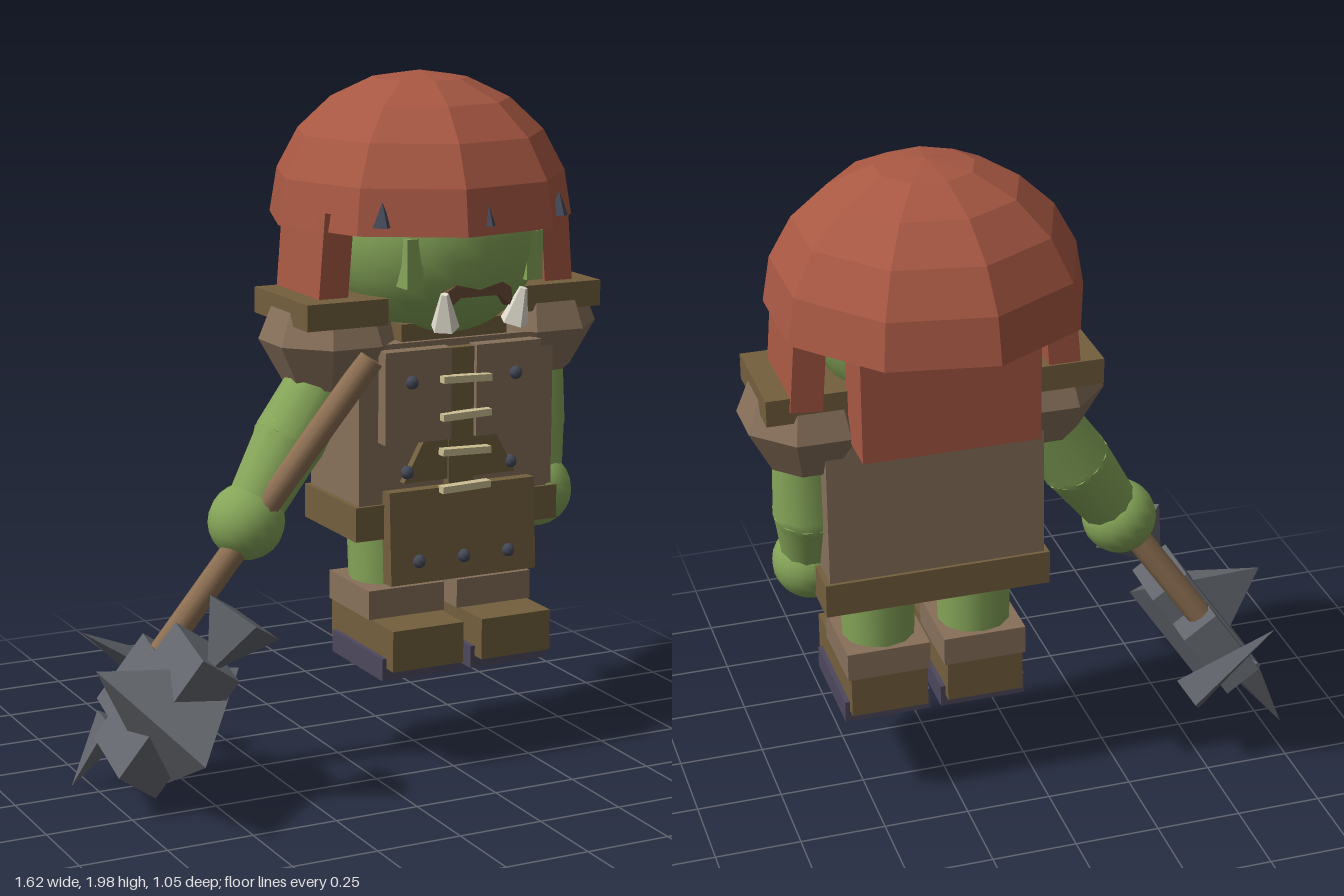
import * as THREE from 'three';

const COLORS = {
  hair: 0xa85843, skin: 0x86a659, leather: 0x87705a, darkLeather: 0x735f3e, metal: 0x62666c,
  wood: 0x8f7154, bone: 0xe2decf, lace: 0xcdbf92, sole: 0x4d485c, shadow: 0x33323c, mouth: 0x6b4a38, stud: 0x454a58,
};

export function createModel() {
  const root = new THREE.Group();
  const V = (x, y, z) => new THREE.Vector3(x, y, z);
  const CX = 0.3; // body centre line

  function add(name, geo, color, pos, flat = false, parent = root) {
    const mat = new THREE.MeshStandardMaterial({ color: COLORS[color], flatShading: flat });
    const mesh = new THREE.Mesh(geo, mat);
    mesh.name = name;
    if (pos) mesh.position.copy(pos);
    parent.add(mesh);
    return mesh;
  }
  // Box given by its lower and upper limits
  function box(name, color, x0, x1, y0, y1, z0, z1) {
    return add(name, new THREE.BoxGeometry(x1 - x0, y1 - y0, z1 - z0), color,
      V((x0 + x1) / 2, (y0 + y1) / 2, (z0 + z1) / 2));
  }
  // Tapered rod between two points
  function rod(name, color, a, b, ra, rb, sides, flat = false) {
    const dir = b.clone().sub(a);
    const m = add(name, new THREE.CylinderGeometry(rb, ra, dir.length(), sides), color,
      a.clone().add(b).multiplyScalar(0.5), flat);
    m.quaternion.setFromUnitVectors(V(0, 1, 0), dir.normalize());
    return m;
  }

  // Hair: faceted cap, dark underside, back block and side locks
  const cap = new THREE.SphereGeometry(0.44, 9, 5, 0, Math.PI * 2, 0, Math.PI / 2);
  cap.scale(1.015, 0.955, 1.015);
  add('hairCap', cap, 'hair', V(CX, 1.57, -0.083), true);
  const under = new THREE.CircleGeometry(0.44, 9, Math.PI);
  under.rotateX(Math.PI / 2);
  add('hairUnderside', under, 'shadow', V(CX, 1.572, -0.083));
  box('backHair', 'hair', 0.05, 0.55, 1.235, 1.6, -0.32, -0.15);
  for (const s of [-1, 1]) {
    const lock = box('sideHair', 'hair', CX + s * 0.355 - 0.045, CX + s * 0.355 + 0.045, 1.34, 1.62, -0.18, 0.1);
    lock.rotation.z = s * 0.08;
  }
  for (const x of [0.02, 0.3, 0.58]) {
    const z = x === 0.3 ? 0.325 : 0.235;
    add('hairNotch', new THREE.ConeGeometry(0.03, 0.07, 4), 'stud', V(x, 1.63, z), true);
  }

  // Head with mouth, cheeks and tusks
  add('head', new THREE.SphereGeometry(0.315, 24, 16), 'skin', V(CX, 1.55, 0.005));
  const mouthShape = new THREE.Shape([[-0.11, -0.05], [-0.06, -0.01], [0.06, -0.01], [0.11, -0.05],
    [0.1, 0.01], [0.06, 0.035], [0, 0.02], [-0.06, 0.035], [-0.1, 0.01]].map(p => new THREE.Vector2(...p)));
  add('mouth', new THREE.ExtrudeGeometry(mouthShape, { depth: 0.07, bevelEnabled: false }), 'mouth', V(CX, 1.4, 0.215));
  for (const s of [-1, 1]) {
    box('cheek', 'skin', CX + s * 0.19 - 0.025, CX + s * 0.19 + 0.025, 1.42, 1.56, 0.15, 0.26);
    rod('tusk', 'bone', V(CX + s * 0.11, 1.31, 0.285), V(CX + s * 0.125, 1.41, 0.31), 0.042, 0.012, 5, true);
  }

  // Torso, hem and collar
  box('torso', 'leather', -0.01, 0.615, 0.74, 1.25, -0.16, 0.155);
  box('hem', 'darkLeather', -0.025, 0.63, 0.69, 0.79, -0.17, 0.165);
  box('collar', 'darkLeather', 0.13, 0.47, 1.22, 1.3, -0.12, 0.14);

  // Chest plates, laces and apron
  for (const s of [-1, 1]) {
    const plate = new THREE.Shape([[0.04, 0], [0.25, 0], [0.25, 0.265], [0.04, 0.265]]
      .map(([x, y]) => new THREE.Vector2(s * x, y)));
    add('chestPlate', new THREE.ExtrudeGeometry(plate, { depth: 0.055, bevelEnabled: false }), 'leather', V(CX, 0.97, 0.145));
    for (const [y, z] of [[1.145, 0.2], [0.88, 0.175]]) {
      add('stud', new THREE.SphereGeometry(0.02, 8, 6), 'stud', V(CX + s * 0.167, y, z));
    }
  }
  box('placket', 'darkLeather', 0.26, 0.34, 0.83, 1.23, 0.14, 0.185);
  const flap = new THREE.Shape([[-0.18, -0.01], [0.18, -0.01], [0.11, 0.12], [-0.11, 0.12]]
    .map(p => new THREE.Vector2(...p)));
  add('lowerFlap', new THREE.ExtrudeGeometry(flap, { depth: 0.03, bevelEnabled: false }), 'darkLeather', V(CX, 0.86, 0.15));
  for (let i = 0; i < 4; i++) {
    const lace = add('lace', new THREE.BoxGeometry(0.155, 0.02, 0.03), 'lace', V(CX, 1.145 - i * 0.105, 0.21));
    lace.rotation.z = i % 2 ? 0.03 : -0.03;
  }
  const apron = box('apron', 'darkLeather', 0.065, 0.535, 0.56, 0.83, 0.155, 0.205);
  apron.rotation.x = -0.05;
  for (const x of [0.155, 0.3, 0.445]) {
    add('stud', new THREE.SphereGeometry(0.02, 8, 6), 'stud', V(x, 0.625, 0.208));
  }

  // Shoulder pads with plates on top
  const padProfile = [[0, -0.13], [0.13, -0.13], [0.205, 0], [0.165, 0.1], [0, 0.13]]
    .map(p => new THREE.Vector2(...p));
  for (const s of [-1, 1]) {
    const x = CX + s * 0.325;
    const pad = new THREE.LatheGeometry(padProfile, 8, Math.PI / 8);
    pad.scale(0.97, 1, 1);
    add('shoulderPad', pad, 'leather', V(x, 1.25, -0.01), true);
    const plate = add('shoulderPlate', new THREE.BoxGeometry(0.25, 0.075, 0.32), 'darkLeather',
      V(x + s * 0.025, 1.345, -0.01));
    if (s < 0) plate.scale.z = 1.1;
  }

  // Arms and hands
  const arms = [
    [V(0.64, 1.2, -0.01), V(0.63, 0.95, 0), V(0.62, 0.755, 0.055)],
    [V(-0.01, 1.2, 0), V(-0.16, 0.97, 0.01), V(-0.305, 0.755, 0.035)],
  ];
  for (const [shoulder, elbow, hand] of arms) {
    rod('upperArm', 'skin', shoulder, elbow, 0.09, 0.105, 12);
    add('elbow', new THREE.SphereGeometry(0.105, 12, 8), 'skin', elbow);
    rod('forearm', 'skin', elbow, hand, 0.105, 0.08, 12);
    add('hand', new THREE.SphereGeometry(0.11, 18, 12), 'skin', hand);
  }

  // Legs and boots
  for (const s of [-1, 1]) {
    const x = CX + s * 0.143;
    add('leg', new THREE.CylinderGeometry(0.115, 0.105, 0.28, 12), 'skin', V(x, 0.62, -0.01));
    box('bootCuff', 'leather', x - 0.122, x + 0.122, 0.445, 0.53, -0.13, 0.13);
    box('boot', 'darkLeather', x - 0.113, x + 0.113, 0.325, 0.445, -0.13, 0.265);
    box('sole', 'sole', x - 0.127, x + 0.127, 0.29, 0.355, -0.1, 0.225);
  }

  // War hammer: shaft, head blocks turned with the shaft, and spikes
  const grip = V(0.015, 1.22, 0.18), end = V(-0.62, 0.3, -0.02);
  rod('shaft', 'wood', end, grip, 0.038, 0.038, 8);
  const down = end.clone().sub(grip).normalize();
  const fore = V(0, 0, 1).addScaledVector(down, -down.z).normalize();
  const side = new THREE.Vector3().crossVectors(down, fore);
  const turn = new THREE.Matrix4().makeBasis(side, down, fore);
  const blocks = [[V(-0.6, 0.29, -0.02), 0.12, 0.23, 0.17], [V(-0.61, 0.28, 0.16), 0.13, 0.4, 0.26]];
  for (const [pos, w, h, d] of blocks) {
    add('hammerBlock', new THREE.BoxGeometry(w, h, d), 'metal', pos).quaternion.setFromRotationMatrix(turn);
  }
  rod('smallSpike', 'metal', V(-0.69, 0.2, -0.035), V(-0.805, 0.01, -0.075), 0.055, 0, 4, true);
  rod('flaredSpike', 'metal', V(-0.43, 0.56, 0.3), V(-0.54, 0.41, 0.29), 0.12, 0, 4, true);
  rod('backSpike', 'metal', V(-0.45, 0.245, -0.195), V(-0.72, 0.42, -0.195), 0.065, 0, 4, true);
  // Large three-sided spike
  const A = V(-0.815, 0.42, 0.165), B = V(-0.405, 0.385, 0.2), C = V(-0.63, 0.05, 0.14), P = V(-0.65, 0.235, 0.53);
  const spike = new THREE.BufferGeometry().setFromPoints([A, C, P, C, B, P, B, A, P, A, B, C]);
  spike.computeVertexNormals();
  add('largeSpike', spike, 'metal', null, true);

  return root;
}
